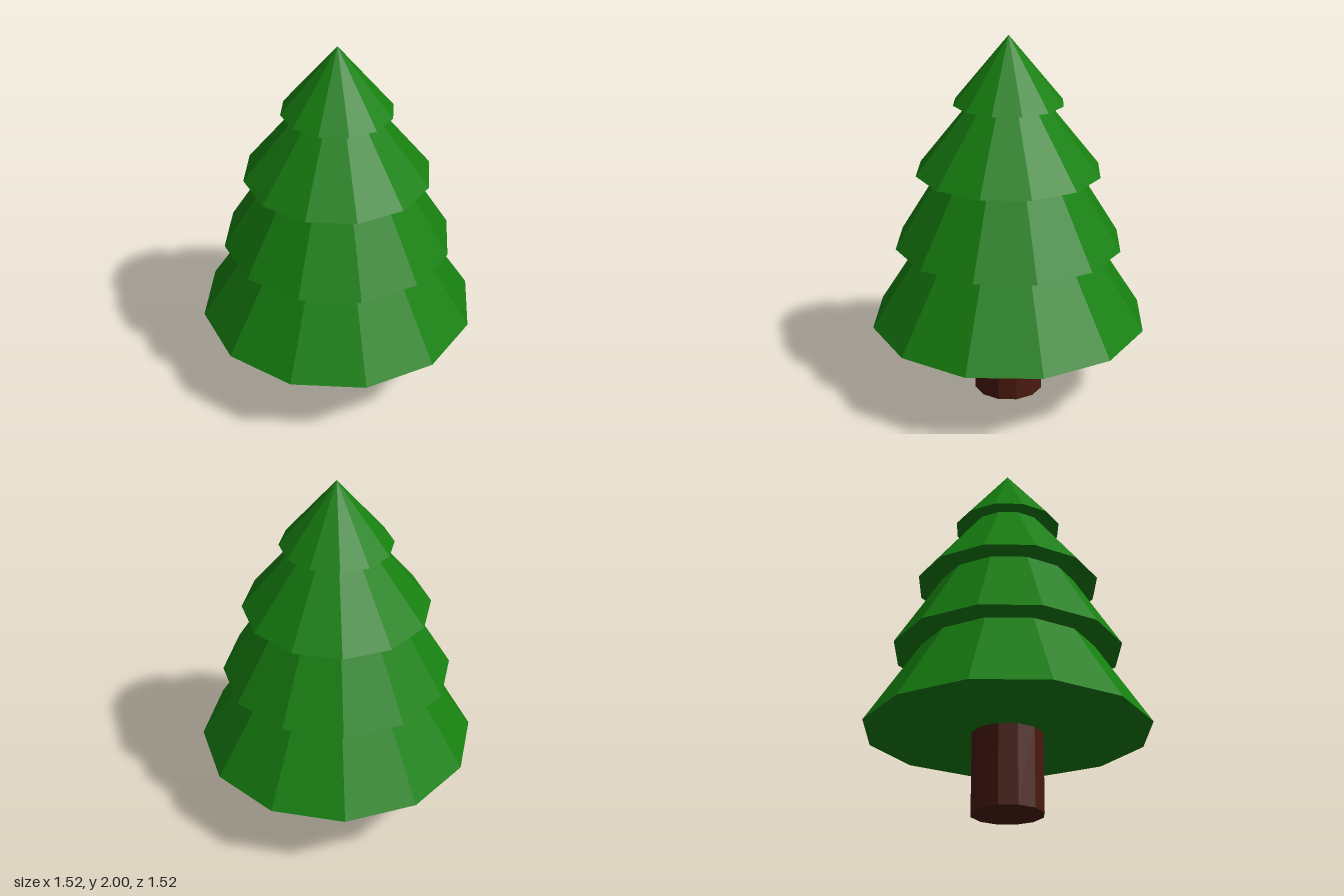
import * as THREE from 'three';

const SIDES = 12;

export function createModel() {
  const tree = new THREE.Group();
  tree.name = 'pineTree';

  const bark = new THREE.MeshStandardMaterial({ color: 0x4a1a0f, flatShading: true });
  const needles = new THREE.MeshStandardMaterial({ color: 0x178010, flatShading: true });

  // Trunk, slightly off the axis of the foliage
  const trunkHeight = 0.46;
  const trunk = new THREE.Mesh(
    new THREE.CylinderGeometry(0.193, 0.193, trunkHeight, SIDES), bark);
  trunk.name = 'trunk';
  trunk.position.set(0.02, trunkHeight / 2, 0.02);
  tree.add(trunk);

  // Foliage: overlapping closed cones, bottom to top
  const tiers = [
    { radius: 0.76, base: 0.425, apex: 1.61 },
    { radius: 0.62, base: 0.875, apex: 1.87 },
    { radius: 0.5, base: 1.277, apex: 1.9 },
    { radius: 0.295, base: 1.645, apex: 2 },
  ];
  tiers.forEach(({ radius, base, apex }, i) => {
    const tier = new THREE.Mesh(
      new THREE.ConeGeometry(radius, apex - base, SIDES), needles);
    tier.name = `foliageTier${i + 1}`;
    tier.position.y = (base + apex) / 2;
    tree.add(tier);
  });

  return tree;
}
